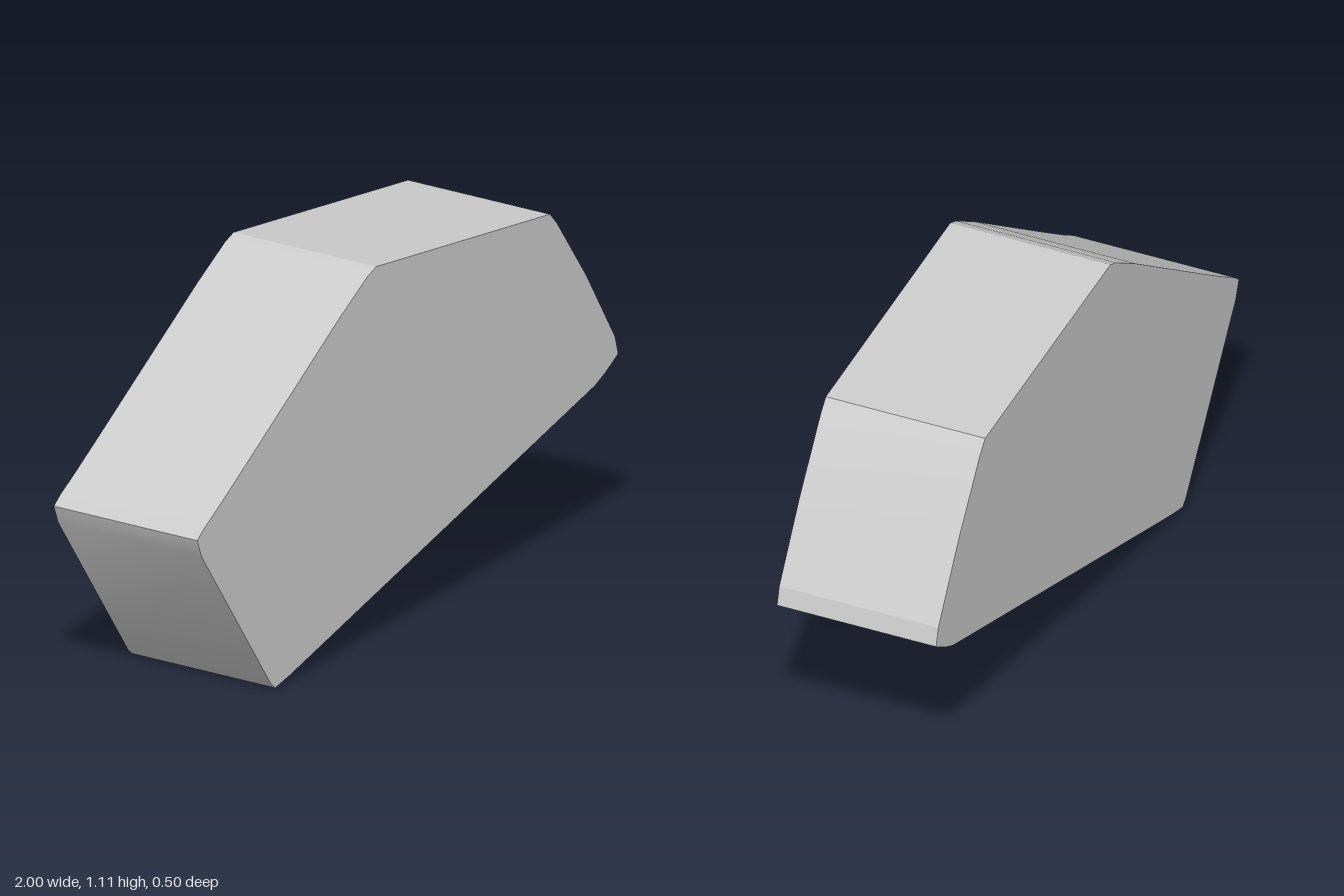
import * as THREE from 'three';
import { toCreasedNormals } from 'three/addons/utils/BufferGeometryUtils.js';

// Slab outline, counter-clockwise from the bottom corner
const OUTLINE = [
  [-0.63, 0], [-0.56, 0.018], [0.89, 0.465], [0.94, 0.49], [1, 0.528],
  [0.985, 0.583], [0.85, 0.8], [0.71, 0.995], [0.676, 1.032],
  [-0.15, 1.11], [-0.19, 1.093], [-0.32, 1.01], [-0.79, 0.685],
  [-0.9, 0.61], [-0.97, 0.565], [-1, 0.54], [-0.98, 0.487], [-0.65, 0.018],
];
const BACK = -0.248;

export function createModel() {
  const group = new THREE.Group();
  const shape = new THREE.Shape(OUTLINE.map(([x, y]) => new THREE.Vector2(x, y)));
  const geometry = new THREE.ExtrudeGeometry(shape, { depth: 1, bevelEnabled: false });

  // Place the back face flat and tilt the front face very slightly
  const pos = geometry.attributes.position;
  for (let i = 0; i < pos.count; i++) {
    const front = 0.245 - 0.003 * pos.getX(i);
    pos.setZ(i, pos.getZ(i) > 0.5 ? front : BACK);
  }

  const slab = new THREE.Mesh(
    toCreasedNormals(geometry, THREE.MathUtils.degToRad(15)),
    new THREE.MeshStandardMaterial({ color: 0xcccccc })
  );
  slab.name = 'slab';
  group.add(slab);
  return group;
}
